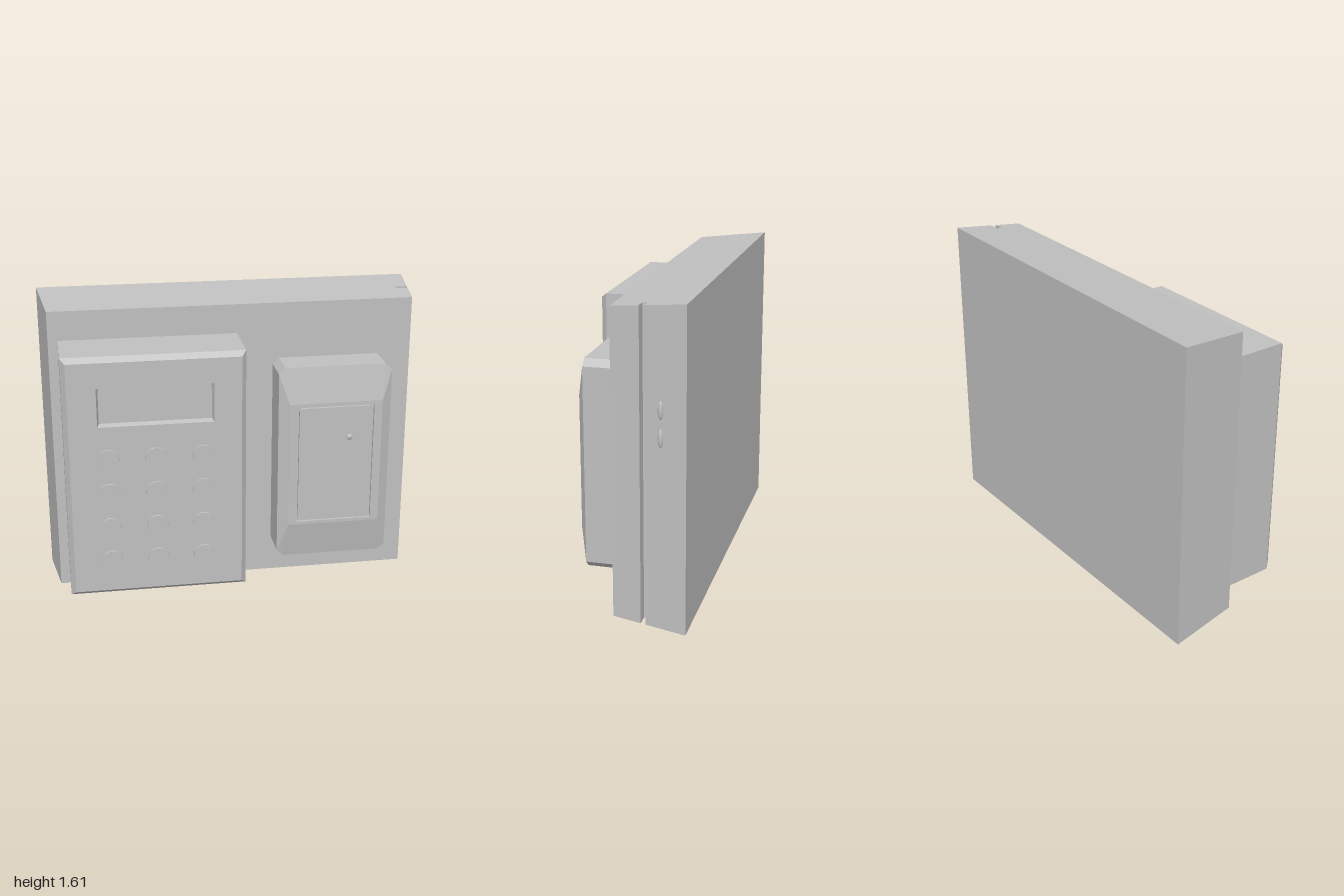
import * as THREE from 'three';

export function createModel() {
  const model = new THREE.Group();
  const grey = new THREE.MeshStandardMaterial({ color: 0xc0c0c0 });
  grey.name = 'light grey';

  const add = (name, geometry, parent = model) => {
    const mesh = new THREE.Mesh(geometry, grey);
    mesh.name = name;
    parent.add(mesh);
    return mesh;
  };
  const group = (name) => {
    const g = new THREE.Group();
    g.name = name;
    model.add(g);
    return g;
  };

  // Rectangle outline, counter-clockwise seen from the front, with optional cut corners
  const rect = (x0, x1, y0, y1, c = 0) => c
    ? [[x0 + c, y0], [x1 - c, y0], [x1, y0 + c], [x1, y1 - c], [x1 - c, y1], [x0 + c, y1], [x0, y1 - c], [x0, y0 + c]]
    : [[x0, y0], [x1, y0], [x1, y1], [x0, y1]];

  // Flat-faced walls joining outlines placed at successive depths
  const walls = (...rings) => {
    const pos = [];
    for (let r = 0; r + 1 < rings.length; r++) {
      const [p, zp] = rings[r], [q, zq] = rings[r + 1];
      p.forEach((_, i) => {
        const j = (i + 1) % p.length;
        const a = [...p[i], zp], b = [...p[j], zp], c = [...q[j], zq], d = [...q[i], zq];
        pos.push(...a, ...b, ...c, ...a, ...c, ...d);
      });
    }
    const g = new THREE.BufferGeometry();
    g.setAttribute('position', new THREE.Float32BufferAttribute(pos, 3));
    g.computeVertexNormals();
    return g;
  };
  const toShape = (pts) => new THREE.Shape(pts.map(([x, y]) => new THREE.Vector2(x, y)));
  const face = (pts, z, hole) => {
    const s = toShape(pts);
    if (hole) s.holes.push(toShape(hole));
    return new THREE.ShapeGeometry(s).translate(0, 0, z);
  };

  // Tapered wall housing with a full-height slot in its left side
  const back = -0.355, front = 0.015;
  const taper = (z) => (z - back) / (front - back);
  const sideX = (z) => 1 - 0.045 * taper(z);
  const s0 = -0.127, s1 = -0.153;
  const section = [[-0.955, front], [0.955, front], [sideX(s0), s0], [0.91, s0],
    [0.91, s1], [sideX(s1), s1], [1, back], [-1, back]];
  const body = new THREE.ExtrudeGeometry(toShape(section.map(([x, z]) => [x, -z])),
    { depth: 1, bevelEnabled: false }).rotateX(-Math.PI / 2);
  const p = body.attributes.position;
  for (let i = 0; i < p.count; i++) {
    const inset = 0.036 * taper(p.getZ(i));
    p.setY(i, p.getY(i) > 0.5 ? 1.61 - inset : inset);
  }
  body.computeVertexNormals();
  add('housing', body);

  // Two small oval lugs on the left side
  for (const y of [0.975, 1.11]) {
    const lug = add('sideLug', new THREE.SphereGeometry(1, 20, 12));
    lug.scale.set(0.011, 0.045, 0.013);
    lug.position.set(sideX(-0.23), y, -0.23);
  }

  // Keypad box with chamfered front and sunken display
  const keypad = group('keypad');
  const boxOuter = rect(-0.905, 0.02, 0.125, 1.42);
  const boxFront = rect(-0.88, -0.005, 0.15, 1.395);
  const windowOuter = rect(-0.735, -0.145, 1.06, 1.265);
  const windowInner = rect(-0.725, -0.155, 1.07, 1.255);
  add('keypadSides', walls([boxOuter, front], [boxOuter, 0.315], [boxFront, 0.345]), keypad);
  add('keypadFront', face(boxFront, 0.345, windowOuter), keypad);
  add('displayRim', walls([windowOuter, 0.345], [windowInner, 0.315]), keypad);
  add('displayScreen', face(windowInner, 0.315), keypad);

  // Twelve round keys
  for (const y of [0.325, 0.51, 0.7, 0.885])
    for (const x of [-0.685, -0.445, -0.205]) {
      const key = add('key', new THREE.CylinderGeometry(0.053, 0.055, 0.018, 32).rotateX(Math.PI / 2), keypad);
      key.position.set(x, y, 0.345);
    }

  // Card reader with cut corners and sloped front edges
  const reader = group('cardReader');
  const base = rect(0.212, 0.812, 0.205, 1.275, 0.034);
  const rim = rect(0.265, 0.759, 0.4, 1.085, 0.003);
  const groove = rect(0.308, 0.716, 0.417, 1.068);
  add('readerSides', walls([base, front], [base, 0.195], [rim, 0.23]), reader);
  add('readerFront', face(rim, 0.23, groove), reader);
  add('grooveWalls', walls([groove, 0.23], [groove, 0.215]), reader);
  add('grooveFloor', face(groove, 0.215), reader);

  // Rounded panel set inside the groove
  const x0 = 0.317, x1 = 0.707, y0 = 0.426, y1 = 1.059, r = 0.018;
  const panel = new THREE.Shape();
  panel.absarc(x1 - r, y0 + r, r, -Math.PI / 2, 0);
  panel.absarc(x1 - r, y1 - r, r, 0, Math.PI / 2);
  panel.absarc(x0 + r, y1 - r, r, Math.PI / 2, Math.PI);
  panel.absarc(x0 + r, y0 + r, r, Math.PI, Math.PI * 1.5);
  panel.closePath();
  add('readerPanel', new THREE.ExtrudeGeometry(panel, { depth: 0.015, bevelEnabled: false, curveSegments: 6 })
    .translate(0, 0, 0.215), reader);

  // Indicator light
  const light = add('indicatorLight', new THREE.SphereGeometry(0.016, 20, 12), reader);
  light.scale.z = 0.6;
  light.position.set(0.587, 0.89, 0.23);

  return model;
}
